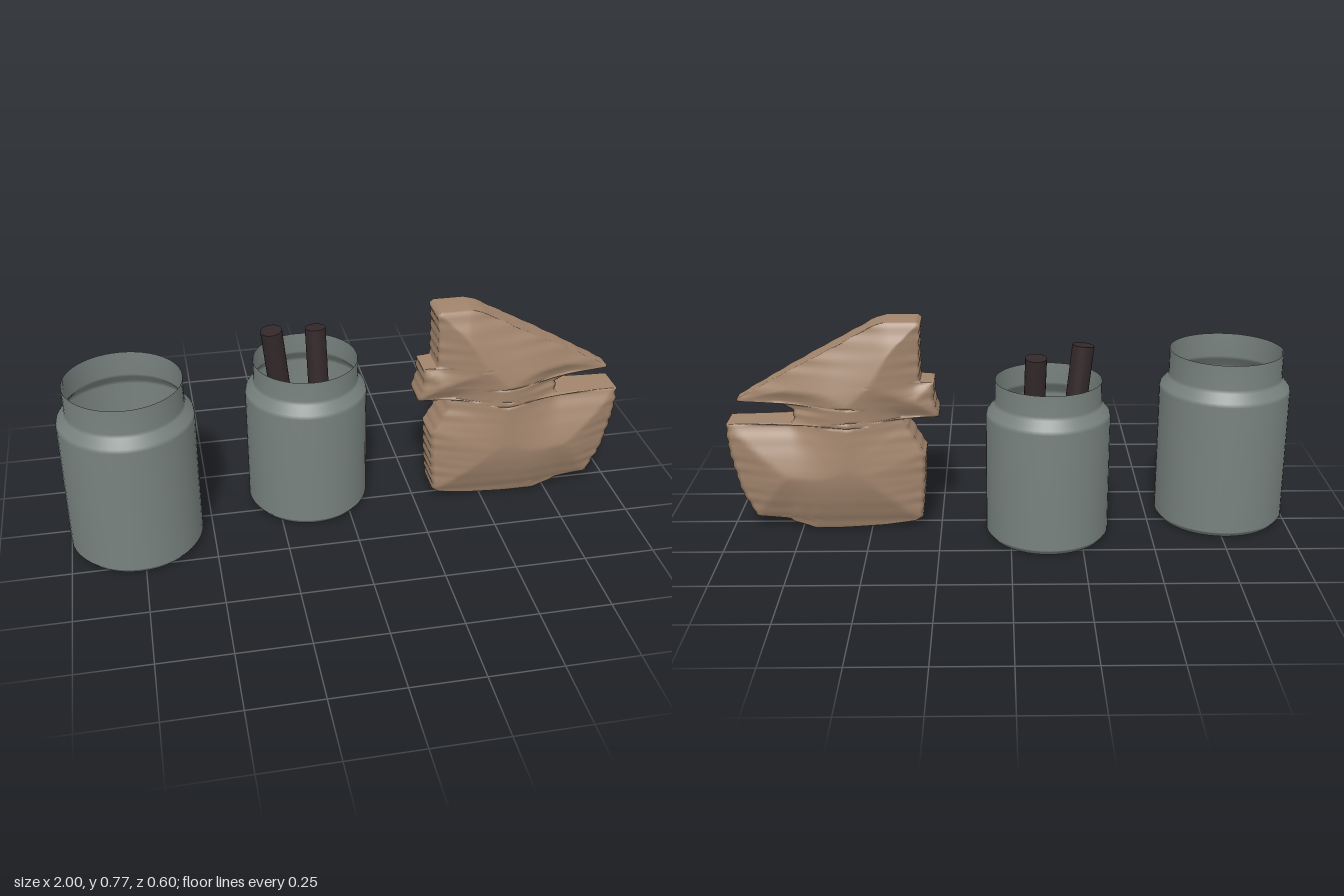
import * as THREE from 'three';

const paint = (name, color, side = THREE.FrontSide) => {
  const m = new THREE.MeshStandardMaterial({ color, side });
  m.name = name;
  return m;
};

// Open jar: chamfered foot, sloping shoulder, straight neck
function makeJar(name, r, neckR, shoulderY, neckY, topY, material) {
  const e = 0.004;
  const profile = [
    [0, 0.002], [r - 0.022, 0.002], [r - 0.016, 0.003], [r - e, 0.018], [r, 0.024],
    [r, shoulderY - 0.008], [r - e, shoulderY + 0.006],
    [neckR + e, neckY - 0.006], [neckR, neckY + 0.006], [neckR, topY],
  ].map(([x, y]) => new THREE.Vector2(x, y));
  const mesh = new THREE.Mesh(new THREE.LatheGeometry(profile, 48), material);
  mesh.name = name;
  return mesh;
}

// Rod between two points
function makeRod(name, from, to, r, material) {
  const a = new THREE.Vector3(...from), b = new THREE.Vector3(...to);
  const dir = b.clone().sub(a);
  const mesh = new THREE.Mesh(new THREE.CylinderGeometry(r, r, dir.length(), 20), material);
  mesh.position.copy(a).add(b).multiplyScalar(0.5);
  mesh.quaternion.setFromUnitVectors(new THREE.Vector3(0, 1, 0), dir.normalize());
  mesh.name = name;
  return mesh;
}

// Puffed sack: rows [y, left x, right x], thickest far from the outline
function makeSack(material) {
  const rows = [
    [0.004, 0.62, 0.70], [0.016, 0.45, 0.73], [0.03, 0.34, 0.78], [0.043, 0.32, 0.80],
    [0.053, 0.315, 0.91], [0.155, 0.305, 0.96], [0.29, 0.30, 0.99], [0.36, 0.34, 0.997],
    [0.405, 0.365, 0.995], [0.41, 0.37, 0.77], [0.425, 0.375, 0.757], [0.43, 0.25, 0.757],
    [0.455, 0.255, 0.76], [0.477, 0.263, 0.80], [0.481, 0.265, 0.955], [0.49, 0.267, 0.958],
    [0.555, 0.267, 0.845], [0.558, 0.315, 0.84], [0.60, 0.315, 0.765], [0.70, 0.315, 0.58],
    [0.75, 0.31, 0.49], [0.762, 0.31, 0.465], [0.773, 0.32, 0.43],
  ];
  const outline = [...rows.map(([y, l]) => [l, y]), ...rows.map(([y, , r]) => [r, y]).reverse()];
  const edgeDistance = (x, y) => {
    let best = 1;
    outline.forEach(([ax, ay], i) => {
      const [bx, by] = outline[(i + 1) % outline.length];
      const dx = bx - ax, dy = by - ay;
      const t = THREE.MathUtils.clamp(((x - ax) * dx + (y - ay) * dy) / (dx * dx + dy * dy), 0, 1);
      best = Math.min(best, Math.hypot(x - ax - t * dx, y - ay - t * dy));
    });
    return best;
  };
  const thickness = (x, y) => {
    const d = edgeDistance(x, y);
    const puff = 0.055 + 0.077 * Math.sin(Math.min(1, d / 0.26) * Math.PI / 2);
    // The pointed flap thins toward its tip
    const flap = y > 0.45 ? THREE.MathUtils.smoothstep(x, 0.6, 0.98) : 0;
    const crease = 0.002 * Math.sin(y * 110) * Math.exp(-d / 0.05);
    return puff * (1 - 0.45 * flap) + crease;
  };

  // Subdivide the rows evenly
  const fine = [];
  for (let k = 0; k < rows.length - 1; k++) {
    const a = rows[k], b = rows[k + 1];
    const n = Math.max(1, Math.ceil((b[0] - a[0]) / 0.01));
    for (let s = 0; s < n; s++) fine.push(a.map((v, i) => v + (b[i] - v) * s / n));
  }
  fine.push(rows[rows.length - 1]);

  const cols = 44, loop = cols * 2, pos = [], index = [];
  for (const [y, l, r] of fine) {
    for (let i = 0; i < loop; i++) {
      const front = i < cols;
      const u = (front ? i : loop - 1 - i) / (cols - 1);
      const wave = 0.002 * Math.sin(y * 160) * (u < 0.5 ? -1 : 1) * Math.abs(2 * u - 1);
      const x = l + (r - l) * u;
      pos.push(x + wave, y, -0.007 + (front ? 1 : -1) * thickness(x, y));
    }
  }
  const quad = (a, b, c, d) => index.push(a, b, c, a, c, d);
  for (let k = 0; k < fine.length - 1; k++) {
    for (let i = 0; i < loop; i++) {
      const j = (i + 1) % loop, o = k * loop;
      quad(o + i, o + j, o + loop + j, o + loop + i);
    }
  }
  // Close the bottom and the top
  const top = (fine.length - 1) * loop;
  for (let i = 0; i < cols - 1; i++) {
    const back = loop - 1 - i;
    quad(i, back, back - 1, i + 1);
    quad(top + i, top + i + 1, top + back - 1, top + back);
  }
  const geo = new THREE.BufferGeometry();
  geo.setAttribute('position', new THREE.Float32BufferAttribute(pos, 3));
  geo.setIndex(index);
  geo.computeVertexNormals();
  const mesh = new THREE.Mesh(geo, material);
  mesh.name = 'sack';
  return mesh;
}

export function createModel() {
  const glaze = paint('grey green glaze', 0x78827f, THREE.DoubleSide);
  const tan = paint('tan hide', 0xa2856d);
  const nut = paint('nut brown', 0x8a5a34);
  const bark = paint('dark bark', 0x33282a);
  const model = new THREE.Group();
  model.name = 'storageSet';

  // Large jar with a roll lying on nuts
  const large = new THREE.Group();
  large.name = 'largeJar';
  large.position.set(-0.768, 0, 0.065);
  large.add(makeJar('largeJarBody', 0.232, 0.2, 0.5, 0.54, 0.634, glaze));
  large.add(makeRod('roll', [-0.165, 0.1, 0.05], [0.185, 0.1, -0.03], 0.056, tan));
  const nuts = [ // x, y, z, radius
    [-0.075, 0.06, -0.1, 0.048], [-0.05, 0.06, 0.14, 0.048], [-0.165, 0.13, 0.04, 0.032],
    [-0.155, 0.03, -0.03, 0.026], [-0.12, 0.03, -0.075, 0.028], [-0.13, 0.03, -0.02, 0.025],
    [-0.02, 0.03, -0.13, 0.027], [0.005, 0.03, -0.165, 0.025], [0.03, 0.03, -0.12, 0.028],
    [0.055, 0.03, -0.155, 0.027], [0.075, 0.03, -0.115, 0.024], [0.01, 0.03, -0.09, 0.026],
    [0.03, 0.03, 0.1, 0.026], [0.07, 0.03, 0.09, 0.026], [0.09, 0.03, 0.125, 0.027],
    [0.115, 0.03, 0.075, 0.026], [0.07, 0.03, 0.14, 0.024], [0.12, 0.03, 0.11, 0.024],
    [-0.1, 0.03, 0.125, 0.026], [-0.01, 0.03, 0.105, 0.025],
  ];
  for (const [x, y, z, r] of nuts) {
    const ball = new THREE.Mesh(new THREE.SphereGeometry(r, 16, 12), nut);
    ball.name = 'nut';
    ball.position.set(x, y, z);
    large.add(ball);
  }

  // Small jar with two leaning sticks
  const small = new THREE.Group();
  small.name = 'smallJar';
  small.position.set(-0.13, 0, -0.085);
  small.add(makeJar('smallJarBody', 0.217, 0.185, 0.455, 0.495, 0.575, glaze));
  small.add(makeRod('tallStick', [-0.045, 0.03, -0.035], [-0.118, 0.695, 0.005], 0.038, bark));
  small.add(makeRod('shortStick', [0.06, 0.03, 0.025], [0.045, 0.665, -0.048], 0.037, bark));
  const seed = new THREE.Mesh(new THREE.SphereGeometry(0.03, 16, 12), nut);
  seed.name = 'looseNut';
  seed.position.set(-0.03, 0.035, -0.04);
  small.add(seed);

  model.add(large, small, makeSack(tan));
  return model;
}
